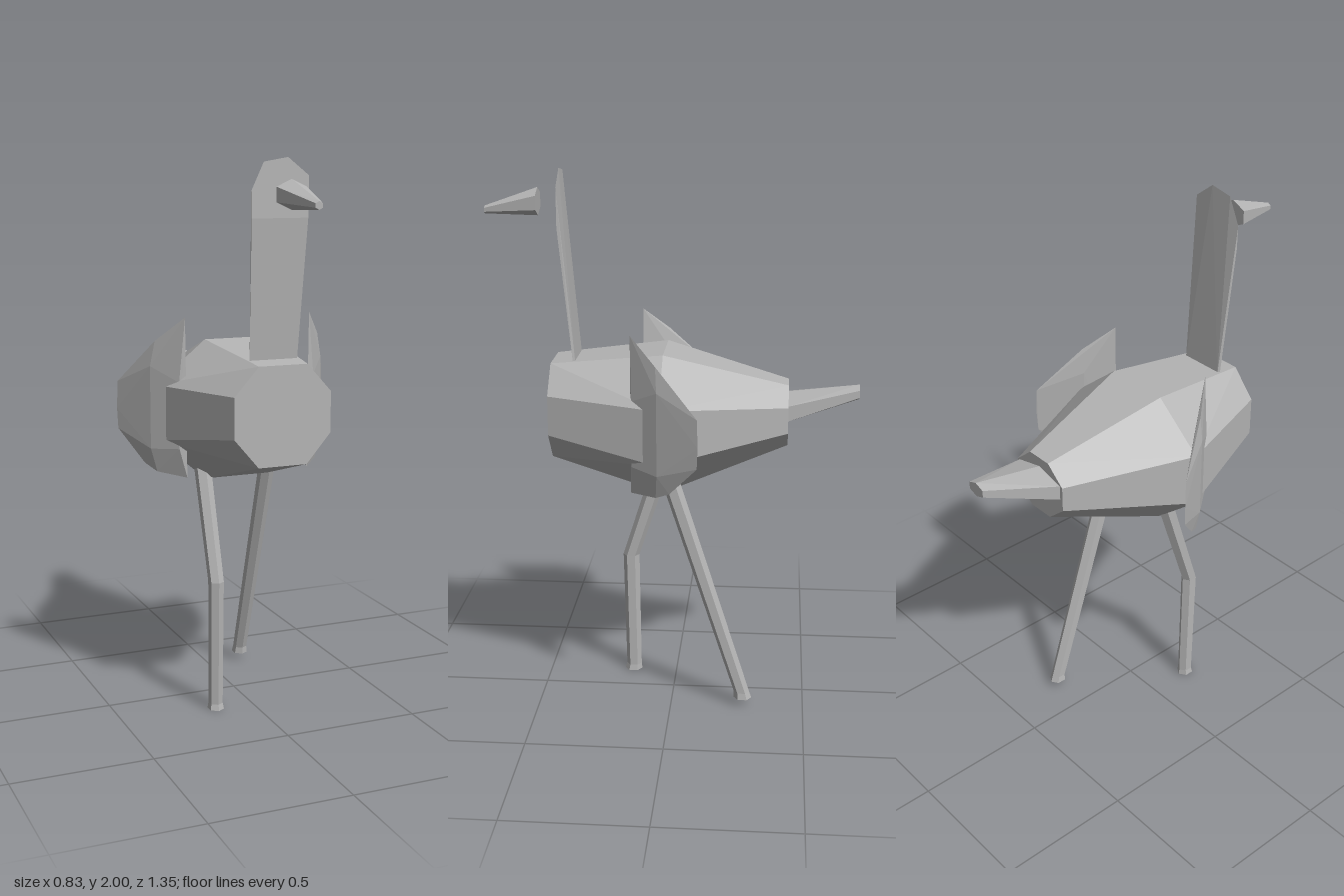
import * as THREE from 'three';
import { ConvexGeometry } from 'three/addons/geometries/ConvexGeometry.js';

export function createModel() {
  const model = new THREE.Group();
  const grey = new THREE.MeshStandardMaterial({ color: 0xb4b4b4 });
  grey.name = 'plain grey';
  grey.flatShading = true;

  const V = (x, y, z) => new THREE.Vector3(x, y, z);

  // Every part is a faceted solid wrapped around its cross-sections
  function solid(name, points, parent = model) {
    const mesh = new THREE.Mesh(new ConvexGeometry(points), grey);
    mesh.name = name;
    parent.add(mesh);
  }

  // Six-sided section facing z (corner on top), or lying flat
  function hexagon(cx, cy, cz, rx, r, flat = false) {
    return Array.from({ length: 6 }, (_, i) => {
      const a = (i * Math.PI) / 3;
      const u = rx * Math.sin(a), v = r * Math.cos(a);
      return flat ? V(cx + u, cy, cz + v) : V(cx + u, cy + v, cz);
    });
  }

  // Body: three eight-sided sections
  function octagon(z, flat, wide, top, upper, lower, bottom) {
    return [-1, 1].flatMap((s) => [
      V(s * flat, top, z), V(s * wide, upper, z),
      V(s * wide, lower, z), V(s * flat, bottom, z),
    ]);
  }
  solid('body', [
    ...octagon(0.44, 0.09, 0.18, 1.31, 1.21, 1.065, 0.96),
    ...octagon(0.03, 0.125, 0.315, 1.355, 1.2, 1.0, 0.84),
    ...octagon(-0.42, 0.05, 0.125, 1.235, 1.17, 1.075, 1.01),
  ]);

  // Tail
  solid('tail', [
    ...hexagon(0, 1.145, -0.42, 0.13, 0.055),
    ...hexagon(0.018, 1.208, -0.675, 0.043, 0.027),
  ]);

  // Thin neck with the head outline at its top
  solid('neckAndHead', [
    V(0.028, 2.0, 0.404), V(-0.06, 1.985, 0.404), V(-0.105, 1.89, 0.404),
    V(-0.103, 1.8, 0.404), V(0.105, 1.94, 0.404), V(0.104, 1.8, 0.404),
    V(-0.09, 1.31, 0.358), V(0.088, 1.31, 0.358),
    V(-0.085, 1.31, 0.35), V(0.083, 1.31, 0.35),
  ]);

  // Beak, floating ahead of the head
  solid('beak', [
    ...hexagon(0.004, 1.88, 0.485, 0.063, 0.05),
    ...hexagon(0.012, 1.85, 0.675, 0.015, 0.014),
  ]);

  // Wings: a thin pointed outline with a shallow ridge on both faces
  for (const [name, s] of [['leftWing', 1], ['rightWing', -1]]) {
    solid(name, [
      V(s * 0.24, 1.45, 0.135), V(s * 0.32, 1.36, 0.04),
      V(s * 0.412, 1.2, -0.11), V(s * 0.415, 1.1, -0.113), V(s * 0.412, 1.025, -0.11),
      V(s * 0.345, 0.91, -0.01), V(s * 0.315, 0.885, 0.04), V(s * 0.235, 0.875, 0.135),
      V(s * 0.262, 1.22, 0.13), V(s * 0.262, 0.98, 0.13),
      V(s * 0.337, 1.27, 0.035), V(s * 0.337, 0.97, 0.035),
      V(s * 0.3, 1.27, 0.03), V(s * 0.3, 0.97, 0.03),
    ]);
  }

  // Legs: each path point is [y, z, radius]; the last pair flares into a foot
  function leg(name, x, path) {
    const group = new THREE.Group();
    group.name = name;
    model.add(group);
    const sections = path.map(([y, z, r]) => hexagon(x, y, z, r, r * 1.12, true));
    for (let i = 1; i < sections.length; i++) {
      const part = i === sections.length - 1 ? 'foot' : i === 1 ? 'upperLeg' : 'shin';
      solid(part, [...sections[i - 1], ...sections[i]], group);
    }
  }
  leg('leftLeg', 0.138, [[0.885, 0, 0.03], [0.055, -0.268, 0.026], [0.03, -0.272, 0.03]]);
  leg('rightLeg', -0.143, [[0.9, 0.045, 0.031], [0.49, 0.178, 0.028], [0.022, 0.17, 0.026], [0, 0.172, 0.03]]);

  return model;
}
